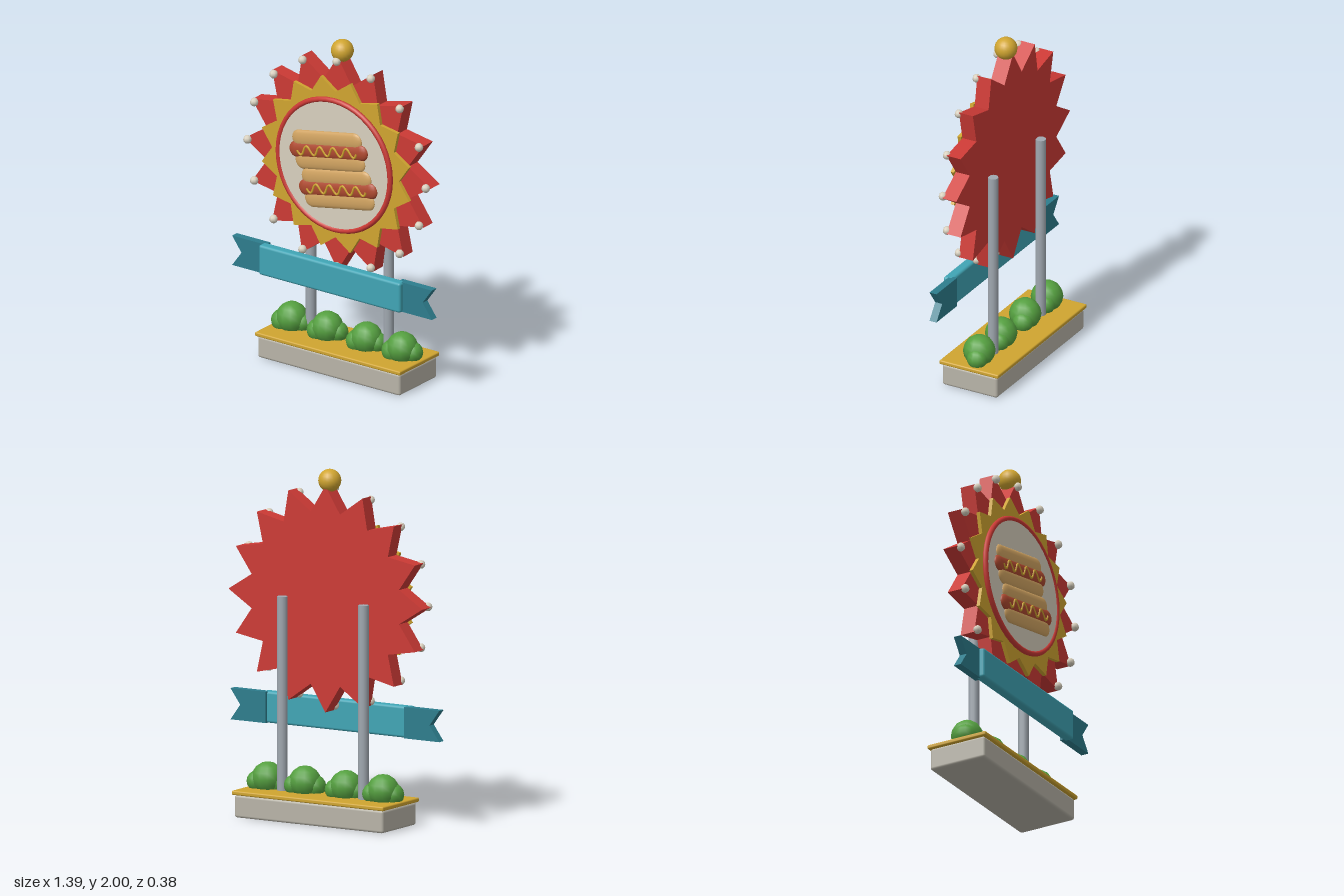
import * as THREE from 'three';
import { RoundedBoxGeometry } from 'three/addons/geometries/RoundedBoxGeometry.js';

const paint = (name, color) => Object.assign(new THREE.MeshStandardMaterial({ color }), { name });

export function createModel() {
  const red = paint('sign red', 0xcc3a35);
  const gold = paint('gold', 0xd0a530);
  const cream = paint('cream', 0xd8d0be);
  const bun = paint('bun tan', 0xd3a562);
  const sausage = paint('sausage brown', 0xb04a30);
  const teal = paint('banner teal', 0x40a5b5);
  const darkTeal = paint('banner tail teal', 0x2d7d8d);
  const steel = paint('steel', 0xa0a8b0);
  const concrete = paint('concrete', 0xb8b4a8);
  const green = paint('leaf green', 0x55a040);

  const model = new THREE.Group();
  model.name = 'snackSign';
  const add = (name, geometry, material, x = 0, y = 0, z = 0, parent = model) => {
    const mesh = new THREE.Mesh(geometry, material);
    mesh.name = name;
    mesh.position.set(x, y, z);
    parent.add(mesh);
    return mesh;
  };

  // Planter with a gold top slab
  add('planter', new RoundedBoxGeometry(0.99, 0.13, 0.355, 2, 0.015), concrete, 0, 0.066, 0);
  add('planterTop', new RoundedBoxGeometry(1.01, 0.025, 0.38, 2, 0.008), gold, 0, 0.143, 0);

  // Bushes, each made of three overlapping balls
  for (const x of [-0.385, -0.137, 0.135, 0.383]) {
    const bush = new THREE.Group();
    bush.name = 'bush';
    bush.position.set(x, 0.155, 0);
    model.add(bush);
    add('bushCrown', new THREE.SphereGeometry(0.092, 12, 8), green, 0, 0.058, 0, bush);
    add('bushLeftBall', new THREE.SphereGeometry(0.066, 12, 8), green, -0.05, 0.035, 0.02, bush);
    add('bushRightBall', new THREE.SphereGeometry(0.06, 12, 8), green, 0.058, 0.037, -0.02, bush);
  }

  // Poles
  for (const x of [-0.27, 0.27]) {
    add('pole', new THREE.CylinderGeometry(0.03, 0.03, 1.11, 12), steel, x, 0.705, -0.025);
  }

  // Starbursts: red with 16 points, gold turned by half a step
  const sign = new THREE.Group();
  sign.name = 'sign';
  sign.position.y = 1.265;
  model.add(sign);
  const points = 16;
  const burst = (outer, inner, depth, turn) => {
    const corners = [];
    for (let i = 0; i < points * 2; i++) {
      const a = (i + turn) * Math.PI / points;
      const r = i % 2 ? inner : outer;
      corners.push(new THREE.Vector2(r * Math.cos(a), r * Math.sin(a)));
    }
    return new THREE.ExtrudeGeometry(new THREE.Shape(corners), { depth, bevelEnabled: false });
  };
  add('redBurst', burst(0.645, 0.5, 0.09, 0), red, 0, 0, 0, sign);
  add('goldBurst', burst(0.522, 0.44, 0.022, 1), gold, 0, 0, 0.09, sign);

  // Bulbs on the red tips, and the ball on top
  for (let i = 0; i < points; i++) {
    const a = i * 2 * Math.PI / points;
    add('bulb', new THREE.SphereGeometry(0.025, 8, 6), cream,
      0.62 * Math.cos(a), 0.62 * Math.sin(a), 0.1, sign);
  }
  add('topBall', new THREE.SphereGeometry(0.065, 20, 14), gold, 0, 1.935, 0.046);

  // Cream disc with its red rim
  add('disc', new THREE.CylinderGeometry(0.388, 0.388, 0.03, 48), cream, 0, 0, 0.115, sign)
    .rotation.x = Math.PI / 2;
  add('discRim', new THREE.TorusGeometry(0.389, 0.016, 8, 48), red, 0, 0, 0.122, sign);

  // Flattened hot dogs on the disc
  const capsule = (radius, length) =>
    new THREE.CapsuleGeometry(radius, length - 2 * radius, 6, 14).rotateZ(Math.PI / 2);
  const wave = [];
  for (let i = 0; i <= 36; i++) {
    const t = i / 36;
    wave.push(new THREE.Vector3((t - 0.5) * 0.42, -0.026 * Math.sin(t * Math.PI * 9), 0.019));
  }
  const mustardPath = new THREE.CatmullRomCurve3(wave);
  for (const [x, y] of [[-0.032, 0.08], [0.034, -0.135]]) {
    const hotDog = new THREE.Group();
    hotDog.name = 'hotDog';
    hotDog.position.set(x, y, 0.13);
    hotDog.rotation.z = 0.18;
    sign.add(hotDog);
    for (const side of [-1, 1]) {
      add('bunHalf', capsule(0.05, 0.49), bun, 0, side * 0.066, 0, hotDog).scale.z = 0.32;
    }
    add('sausage', capsule(0.048, 0.55), sausage, 0, 0, 0, hotDog).scale.z = 0.45;
    add('mustard', new THREE.TubeGeometry(mustardPath, 90, 0.0075, 6), gold, 0, 0, 0, hotDog);
  }

  // Banner with notched tails
  add('banner', new RoundedBoxGeometry(0.985, 0.18, 0.06, 2, 0.015), teal, 0, 0.59, 0.143);
  for (const side of [-1, 1]) {
    const tail = new THREE.Shape([[0.46, -0.089], [0.695, -0.089], [0.63, 0], [0.695, 0.089], [0.46, 0.089]]
      .map(([x, y]) => new THREE.Vector2(side * x, y)));
    add('bannerTail', new THREE.ExtrudeGeometry(tail, { depth: 0.045, bevelEnabled: false }),
      darkTeal, 0, 0.59, 0.099);
  }
  return model;
}
